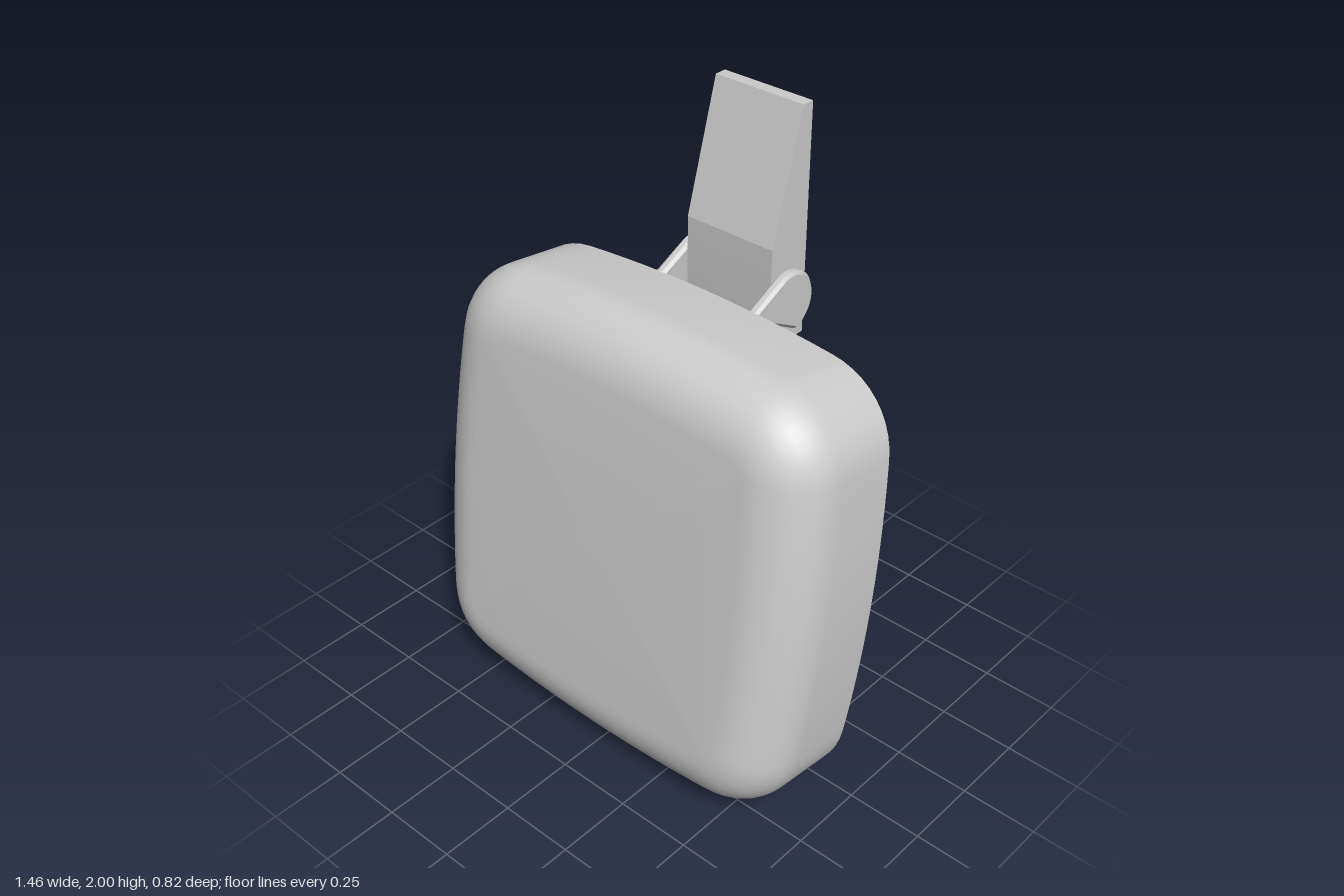
import * as THREE from 'three';
import { toCreasedNormals } from 'three/addons/utils/BufferGeometryUtils.js';

const material = new THREE.MeshStandardMaterial({ color: 0xcccccc, side: THREE.DoubleSide });

// Joins rows of points (each row equally long) into a quad surface.
function loft(rows, crease) {
  const pos = [], index = [], n = rows[0].length;
  rows.forEach(row => row.forEach(p => pos.push(p.x, p.y, p.z)));
  for (let r = 0; r < rows.length - 1; r++) {
    for (let i = 0; i < n - 1; i++) {
      const a = r * n + i, b = a + n;
      index.push(a, a + 1, b + 1, a, b + 1, b);
    }
  }
  const geo = new THREE.BufferGeometry();
  geo.setAttribute('position', new THREE.Float32BufferAttribute(pos, 3));
  geo.setIndex(index);
  return toCreasedNormals(geo, crease);
}

function addMesh(parent, name, geometry) {
  const mesh = new THREE.Mesh(geometry, material);
  mesh.name = name;
  parent.add(mesh);
  return mesh;
}

// Square outline with bowed sides and rounded corners, counterclockwise.
function padOutline() {
  const side = new THREE.QuadraticBezierCurve(
    new THREE.Vector2(0.705, -0.47), new THREE.Vector2(0.75, 0), new THREE.Vector2(0.705, 0.47));
  const corner = new THREE.CubicBezierCurve(
    new THREE.Vector2(0.705, 0.47), new THREE.Vector2(0.693, 0.6),
    new THREE.Vector2(0.6, 0.693), new THREE.Vector2(0.47, 0.705));
  const quarter = [...side.getPoints(12).slice(0, -1), ...corner.getPoints(10).slice(0, -1)];
  const points = [];
  for (let q = 0; q < 4; q++) {
    quarter.forEach(p => points.push(p.clone().rotateAround(new THREE.Vector2(), q * Math.PI / 2)));
  }
  return points;
}

// Tilted cushion: straight wall, rounded front edge, flat front and back.
function buildPad() {
  const pad = new THREE.Group();
  pad.name = 'pad';
  const outline = padOutline(), n = outline.length;
  const normals = outline.map((p, i) => {
    const t = outline[(i + 1) % n].clone().sub(outline[(i + n - 1) % n]).normalize();
    return new THREE.Vector2(t.y, -t.x);
  });
  const ring = (depth, inset) => {
    const pts = outline.map((p, i) => new THREE.Vector3(
      p.x - normals[i].x * inset, p.y - normals[i].y * inset, depth));
    return [...pts, pts[0].clone()];
  };
  const rows = [ring(0, 0)];
  for (let i = 0; i <= 10; i++) {
    const a = i / 10 * Math.PI / 2;
    rows.push(ring(0.22 + 0.18 * Math.sin(a), 0.2 * (1 - Math.cos(a))));
  }
  rows.push(rows[rows.length - 1].map(() => new THREE.Vector3(0, 0, 0.4)));
  addMesh(pad, 'padBody', loft(rows, 0.7));

  const back = addMesh(pad, 'padBack', new THREE.ShapeGeometry(new THREE.Shape(outline)));
  back.rotation.y = Math.PI;

  const tilt = 0.131;
  pad.rotation.x = -tilt;
  pad.position.set(0, 0.727 * Math.cos(tilt), 0.04 - 0.727 * Math.sin(tilt));
  return pad;
}

// Rounded lug with bevelled edges; drawn in (-z, y) and extruded along x.
function lugGeometry() {
  const shape = new THREE.Shape();
  shape.moveTo(0.09, 1.235);
  shape.absarc(0.305, 1.405, 0.1025, -1.283, 2.042, false);
  shape.lineTo(0.12, 1.426);
  shape.closePath();
  const bevel = 0.01;
  const geo = new THREE.ExtrudeGeometry(shape, {
    depth: 0.036 - 2 * bevel, curveSegments: 24,
    bevelThickness: bevel, bevelSize: bevel, bevelOffset: -bevel, bevelSegments: 1,
  });
  geo.translate(0, 0, 0.161 + bevel);
  geo.rotateY(Math.PI / 2);
  return toCreasedNormals(geo, 0.5);
}

// Hollow clip, open at the back: top, sloped front, curved foot and two cheeks.
function buildClip() {
  const clip = new THREE.Group();
  clip.name = 'clip';
  const halfWidth = 0.161;
  const foot = new THREE.CubicBezierCurve(
    new THREE.Vector2(0.25, 1.37), new THREE.Vector2(0.25, 1.29),
    new THREE.Vector2(0.29, 1.255), new THREE.Vector2(0.37, 1.255));
  const profile = [
    new THREE.Vector2(0.407, 2), new THREE.Vector2(0.367, 2), new THREE.Vector2(0.25, 1.59),
    ...foot.getPoints(10), new THREE.Vector2(0.407, 1.255),
  ];
  const edge = x => profile.map(p => new THREE.Vector3(x, p.y, -p.x));
  addMesh(clip, 'clipShell', loft([edge(-halfWidth), edge(halfWidth)], 0.25));
  for (const s of [-1, 1]) {
    const cheek = addMesh(clip, s > 0 ? 'leftCheek' : 'rightCheek',
      new THREE.ShapeGeometry(new THREE.Shape(profile)));
    cheek.rotation.y = Math.PI / 2;
    cheek.position.x = s * halfWidth;
  }
  return clip;
}

export function createModel() {
  const model = new THREE.Group();
  model.name = 'model';
  model.add(buildPad());

  // Pair of lugs holding the clip
  addMesh(model, 'leftLug', lugGeometry());
  const right = addMesh(model, 'rightLug', lugGeometry());
  right.scale.x = -1;

  model.add(buildClip());
  return model;
}
